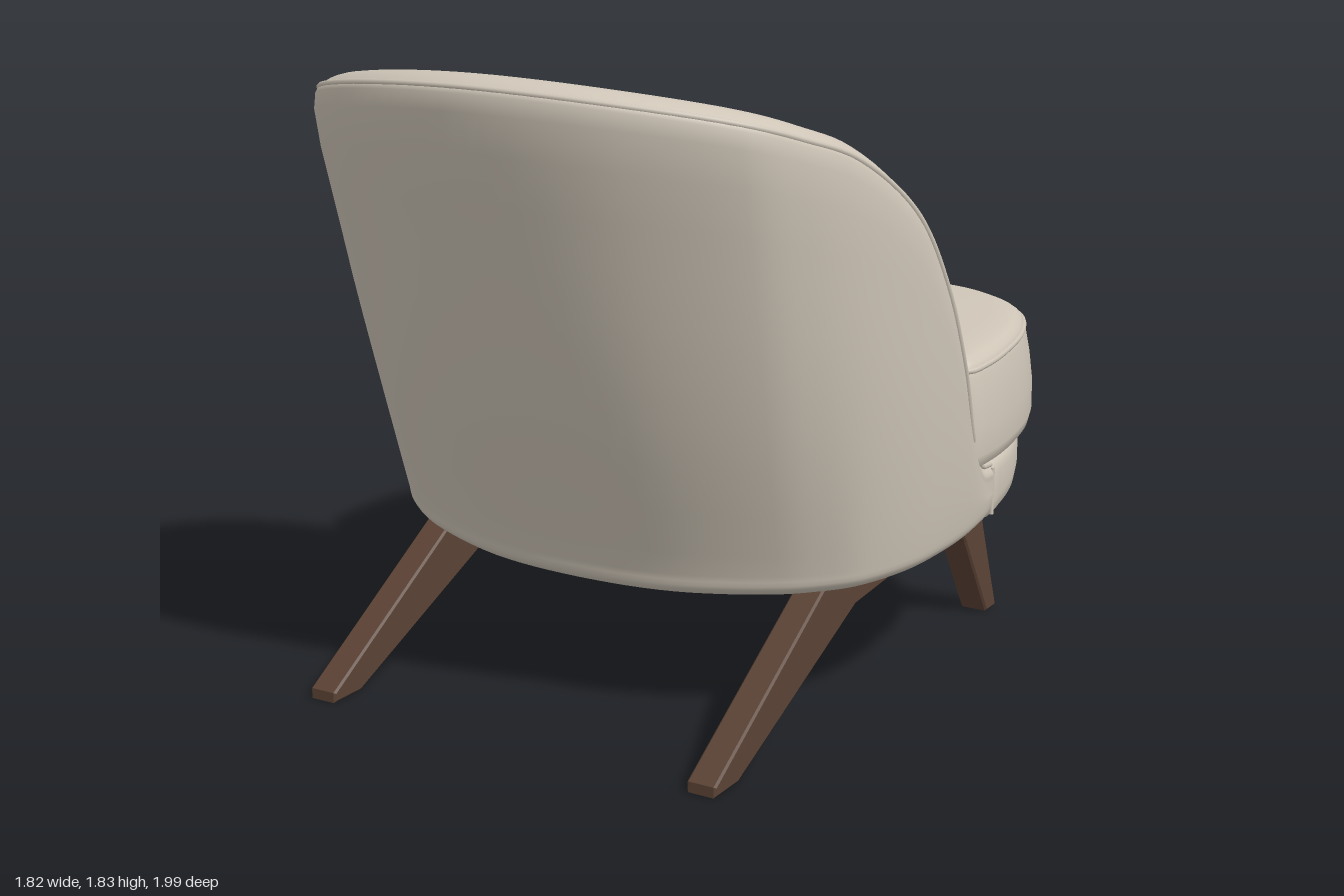
import * as THREE from 'three';

const V = (x, y, z) => new THREE.Vector3(x, y, z);

// Height of the tilted underside at depth z
const underside = (z) => 0.36 + (0.47 - z) * 0.1;

// Smooth surface through a list of equally long cross-sections
function loft(rows, closed) {
  const n = rows[0].length, m = rows.length, index = [];
  const pos = rows.flatMap((row) => row.flatMap((p) => [p.x, p.y, p.z]));
  for (let i = 0; i < (closed ? m : m - 1); i++) {
    for (let j = 0; j < n - 1; j++) {
      const a = i * n + j, c = ((i + 1) % m) * n + j;
      index.push(a, a + 1, c, a + 1, c + 1, c);
    }
  }
  const g = new THREE.BufferGeometry();
  g.setAttribute('position', new THREE.Float32BufferAttribute(pos, 3));
  g.setIndex(index);
  g.computeVertexNormals();
  return g;
}

// Closed plan curve from its +x half, listed front (-z) to back (+z)
function planCurve(half) {
  const mirrored = half.slice(1, -1).reverse().map(([x, z]) => [-x, z]);
  return new THREE.CatmullRomCurve3([...half, ...mirrored].map(([x, z]) => V(x, 0, z)), true);
}

// Pad: profile entries are [inset, scale, y], y depends on z
function planPoint(curve, t, inset, scale, yAt) {
  const p = curve.getPoint(t), d = curve.getTangent(t), cz = -0.55;
  const x = (p.x - d.z * inset) * scale;
  const z = cz + (p.z + d.x * inset - cz) * scale;
  return V(x, yAt(z), z);
}
function pad(curve, profile, count = 160) {
  const rows = [];
  for (let i = 0; i < count; i++) {
    rows.push(profile.map(([inset, s, y]) => planPoint(curve, i / count, inset, s, y)));
  }
  return loft(rows, true);
}

// Shell stations on +x, front to back: outer foot, outer rim, inner foot
const STATIONS = [
  [[0.882, -0.355], [0.882, 0.595, -0.355], [0.73, -0.355]],
  [[0.888, -0.31], [0.89, 0.615, -0.265], [0.73, -0.27]],
  [[0.89, -0.26], [0.897, 0.72, -0.18], [0.72, -0.20]],
  [[0.89, -0.18], [0.905, 0.95, -0.08], [0.70, -0.14]],
  [[0.877, -0.06], [0.90, 1.20, 0.04], [0.64, -0.06]],
  [[0.845, 0.08], [0.878, 1.42, 0.19], [0.56, 0.06]],
  [[0.765, 0.235], [0.82, 1.59, 0.42], [0.45, 0.20]],
  [[0.68, 0.315], [0.755, 1.655, 0.59], [0.385, 0.25]],
  [[0.58, 0.38], [0.66, 1.705, 0.74], [0.31, 0.29]],
  [[0.31, 0.48], [0.35, 1.76, 0.93], [0.15, 0.335]],
  [[0, 0.51], [0, 1.78, 0.995], [0, 0.35]],
];

function shellParts() {
  const flip = ([b, r, i]) => [[-b[0], b[1]], [-r[0], r[1], r[2]], [-i[0], i[1]]];
  const all = [...STATIONS, ...STATIONS.slice(0, -1).reverse().map(flip)];
  const foot = new THREE.CatmullRomCurve3(all.map((s) => V(s[0][0], 0, s[0][1])));
  const rim = new THREE.CatmullRomCurve3(all.map((s) => V(...s[1])));
  const inner = new THREE.CatmullRomCurve3(all.map((s) => V(s[2][0], 0, s[2][1])));
  const rows = [], piping = [], count = 120;
  for (let k = 0; k <= count; k++) {
    const t = k / count, B = foot.getPoint(t), R = rim.getPoint(t), I = inner.getPoint(t);
    const D = V(I.x - R.x, 0, I.z - R.z).normalize();
    const U = D.clone().cross(rim.getTangent(t)).normalize();
    const off = (d, u) => R.clone().addScaledVector(D, d).addScaledVector(U, u);
    const under = (s, dy) => {
      const z = -0.3 + (B.z + 0.3) * s;
      return V(B.x * s, underside(z) + dy, z);
    };
    const low = under(1, 0.08), Q = off(0.19, -0.015);
    I.y = Math.min(0.9, R.y - 0.06);
    // Walls bow gently, more where the shell is taller
    const tall = Math.max(0, R.y - 0.6) / 1.2;
    const outer = (f) => low.clone().lerp(R, f).addScaledVector(D, -0.027 * tall);
    const wall = (f) => Q.clone().lerp(I, f).addScaledVector(D, 0.012 * tall);
    const section = [
      under(0.82, 0.005), under(0.93, 0), under(0.985, 0.03), low, outer(0.33), outer(0.7), R,
      off(0.03, 0.033), off(0.08, 0.047), off(0.14, 0.03), Q,
      wall(0.33), wall(0.67), I, V(I.x, Math.max(I.y - 0.3, 0.5), I.z),
    ];
    rows.push(new THREE.CatmullRomCurve3(section).getPoints(48));
    piping.push(off(0.016, 0.021));
  }
  return { shell: loft(rows, false), piping: new THREE.CatmullRomCurve3(piping) };
}

// Side frame: both legs and the rail cut from one board
function legGeometry(side) {
  const s = new THREE.Shape();
  s.moveTo(0.85, 0);
  s.lineTo(0.85, 0.03);
  s.lineTo(0.25, 0.395);
  s.lineTo(-0.72, 0.49);
  s.lineTo(-0.86, 0);
  s.lineTo(-0.79, 0);
  s.lineTo(-0.65, 0.26);
  s.quadraticCurveTo(-0.61, 0.325, -0.52, 0.325);
  s.lineTo(0.07, 0.285);
  s.lineTo(0.73, 0);
  s.closePath();
  const g = new THREE.ExtrudeGeometry(s, {
    depth: 0.075, bevelThickness: 0.006, bevelSize: 0.006, bevelOffset: -0.006, bevelSegments: 1, curveSegments: 6,
  });
  g.rotateY(-Math.PI / 2).translate(0.0375 + side * 0.618, 0, 0);
  // Splay the short legs slightly outward
  const p = g.attributes.position;
  for (let i = 0; i < p.count; i++) {
    if (p.getZ(i) < -0.6) p.setX(i, p.getX(i) + side * 0.05 * (0.47 - p.getY(i)));
  }
  g.computeVertexNormals();
  return g;
}

export function createModel() {
  const fabric = new THREE.MeshStandardMaterial({ color: 0xcec5b7 });
  fabric.name = 'beige upholstery';
  const wood = new THREE.MeshStandardMaterial({ color: 0x5a4234 });
  wood.name = 'dark wood';
  const model = new THREE.Group();
  model.name = 'loungeChair';
  const add = (name, geometry, material) => {
    const mesh = new THREE.Mesh(geometry, material);
    mesh.name = name;
    model.add(mesh);
    return mesh;
  };

  // Wraparound backrest with piped rim
  const { shell, piping } = shellParts();
  add('backrestShell', shell, fabric);
  add('backrestPiping', new THREE.TubeGeometry(piping, 160, 0.009, 8), fabric);

  // Upholstered seat base, tucked inside the shell at the rear
  const basePlan = planCurve([
    [0, -0.935], [0.35, -0.925], [0.6, -0.875], [0.77, -0.755], [0.85, -0.58], [0.88, -0.42],
    [0.88, -0.35], [0.79, -0.27], [0.7, 0], [0.55, 0.24], [0.3, 0.38], [0, 0.42],
  ]);
  const above = (dy) => (z) => underside(z) + dy;
  const tilt = (y) => (z) => y - 0.045 * z;
  add('seatBase', pad(basePlan, [
    [0.06, 0, above(0.012)], [0.06, 0.96, above(0.012)], [0.06, 1, above(0.004)], [0.025, 1, above(0.012)],
    [0.006, 1, above(0.035)], [0, 1, above(0.07)], [0, 1, tilt(0.575)], [0.012, 1, tilt(0.605)],
    [0.04, 1, tilt(0.622)], [0.06, 0.9, tilt(0.625)], [0.06, 0, tilt(0.625)],
  ]), fabric);

  // Loose cushion: wide front, rounded tongue reaching into the shell
  const cushionPlan = planCurve([
    [0, -1], [0.35, -0.99], [0.6, -0.95], [0.77, -0.84], [0.86, -0.66], [0.9, -0.45], [0.907, -0.3],
    [0.89, -0.195], [0.83, -0.155], [0.74, -0.14], [0.66, -0.07], [0.56, 0.07], [0.45, 0.225],
    [0.3, 0.325], [0.15, 0.36], [0, 0.37],
  ]);
  add('seatCushion', pad(cushionPlan, [
    [0.05, 0, tilt(0.62)], [0.05, 0.9, tilt(0.62)], [0.03, 1, tilt(0.623)], [0.008, 1, tilt(0.637)],
    [0, 1, tilt(0.67)], [0.002, 1, tilt(0.75)], [0.012, 1, tilt(0.83)], [0.024, 1, tilt(0.89)],
    [0.032, 1, tilt(0.915)], [0.04, 1, tilt(0.932)], [0.048, 0.99, tilt(0.943)], [0.048, 0.96, tilt(0.951)],
    [0.048, 0.9, tilt(0.957)], [0.048, 0.75, tilt(0.963)], [0.048, 0.5, tilt(0.967)], [0.048, 0, tilt(0.969)],
  ]), fabric);
  const edge = [];
  for (let i = 0; i < 120; i++) edge.push(planPoint(cushionPlan, i / 120, 0.033, 1, tilt(0.913)));
  add('cushionPiping', new THREE.TubeGeometry(new THREE.CatmullRomCurve3(edge, true), 200, 0.009, 8, true), fabric);

  for (const side of [1, -1]) {
    const label = side > 0 ? 'left' : 'right';
    // Seam where shell meets base
    const seam = new THREE.LineCurve3(V(side * 0.878, 0.47, -0.354), V(side * 0.878, 0.61, -0.354));
    add(label + 'SideSeam', new THREE.TubeGeometry(seam, 1, 0.007, 8), fabric);

    // Legs with short pegs pointing inward under the seat
    add(label + 'LegFrame', legGeometry(side), wood);
    for (const z of [0.02, -0.45]) {
      const peg = add(label + 'Peg', new THREE.CapsuleGeometry(0.026, 0.2, 4, 10), wood);
      peg.rotation.z = Math.PI / 2;
      peg.position.set(side * 0.5, underside(z) - 0.012, z);
    }
  }
  return model;
}
